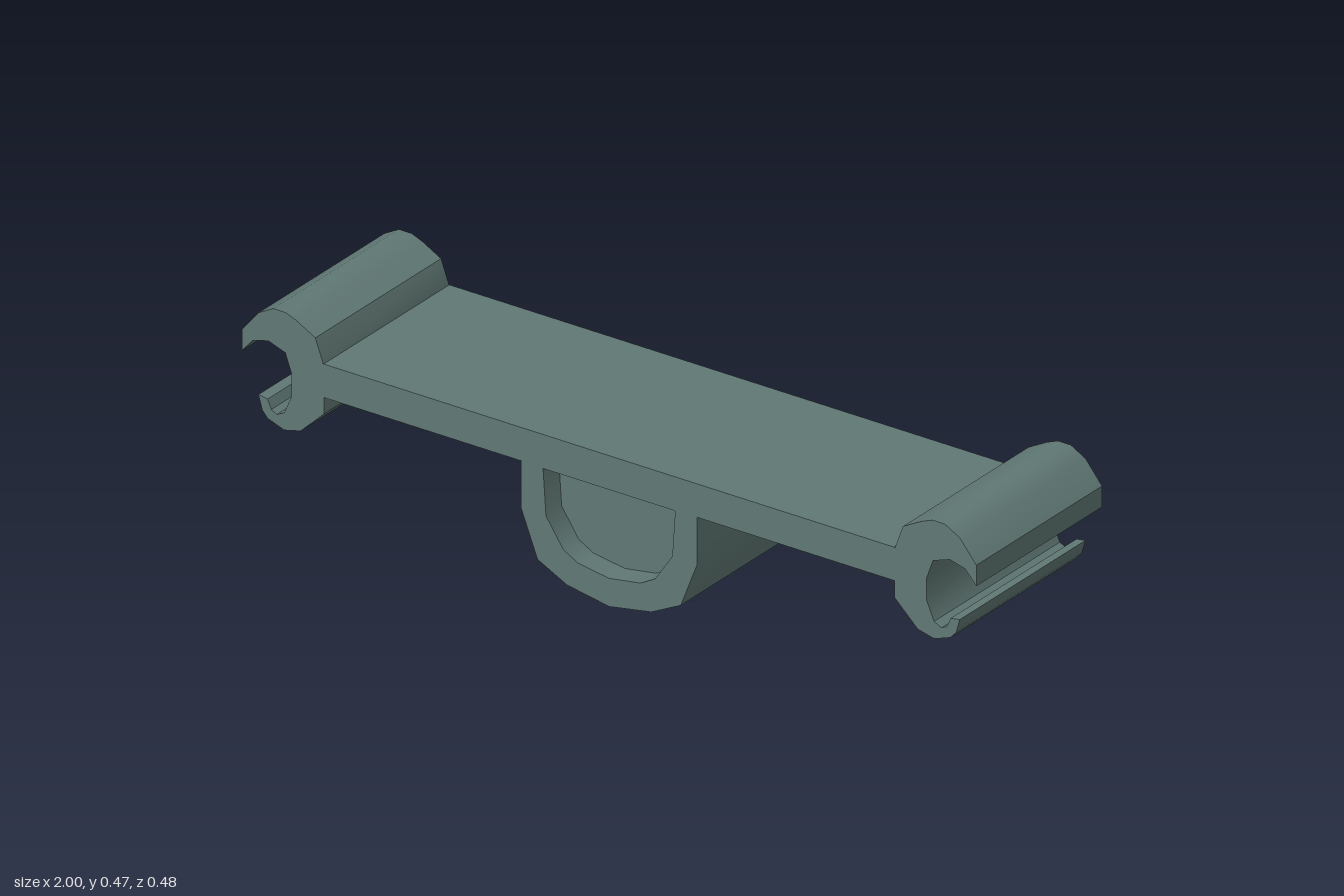
import * as THREE from 'three';
import { toCreasedNormals } from 'three/addons/utils/BufferGeometryUtils.js';

const DEPTH = 0.48;
const RECESS = 0.06;

// Closed path from [x, y] corners
const points = (list) => list.map(([x, y]) => new THREE.Vector2(x, y));

// Left-right symmetric outline from its +x half, listed from bottom centre to top
const mirrored = (half) => [
  ...half,
  ...half.slice(1).reverse().map(([x, y]) => [-x, y]),
];

// Prism centred on z = 0, with soft shading across shallow bends
function prism(shape, depth) {
  const geometry = new THREE.ExtrudeGeometry(shape, { depth, bevelEnabled: false });
  geometry.translate(0, 0, -depth / 2);
  return toCreasedNormals(geometry, 0.55);
}

export function createModel() {
  const group = new THREE.Group();
  const material = new THREE.MeshStandardMaterial({ color: 0x607874 });

  const add = (name, geometry) => {
    const mesh = new THREE.Mesh(geometry, material);
    mesh.name = name;
    group.add(mesh);
  };

  // Flat bridge between the two clips
  const plate = new THREE.BoxGeometry(1.555, 0.083, DEPTH);
  plate.translate(0, 0.333, 0);
  add('plate', plate);

  // Open C-shaped clip on each end, mouth facing outwards
  const clipOutline = [
    // outer side, from upper lip over the top and down to the lower lip
    [1, 0.343], [1, 0.395], [0.955, 0.45], [0.915, 0.472], [0.88, 0.472],
    [0.85, 0.46], [0.8, 0.433], [0.777, 0.37], [0.777, 0.25], [0.84, 0.19],
    [0.885, 0.179], [0.93, 0.195], [0.945, 0.212], [0.955, 0.247],
    // inner side, back up to the upper lip
    [0.93, 0.243], [0.92, 0.22], [0.905, 0.212], [0.885, 0.222], [0.865, 0.268],
    [0.865, 0.325], [0.882, 0.372], [0.928, 0.388], [0.97, 0.377],
  ];
  for (const [name, side] of [['leftClip', 1], ['rightClip', -1]]) {
    const outline = clipOutline.map(([x, y]) => [x * side, y]);
    add(name, prism(new THREE.Shape(points(outline)), DEPTH));
  }

  // Rounded keel below the plate: a rim around a recessed web
  const outer = mirrored([[0, 0], [0.115, 0.02], [0.195, 0.06], [0.24, 0.175], [0.24, 0.295]]);
  const inner = mirrored([
    [0, 0.07], [0.085, 0.083], [0.125, 0.105], [0.172, 0.175], [0.18, 0.29],
  ]);
  const rim = new THREE.Shape(points(outer));
  rim.holes.push(new THREE.Path(points(inner)));
  add('keelRim', prism(rim, DEPTH));
  add('keelWeb', prism(new THREE.Shape(points(inner)), DEPTH - 2 * RECESS));

  return group;
}
